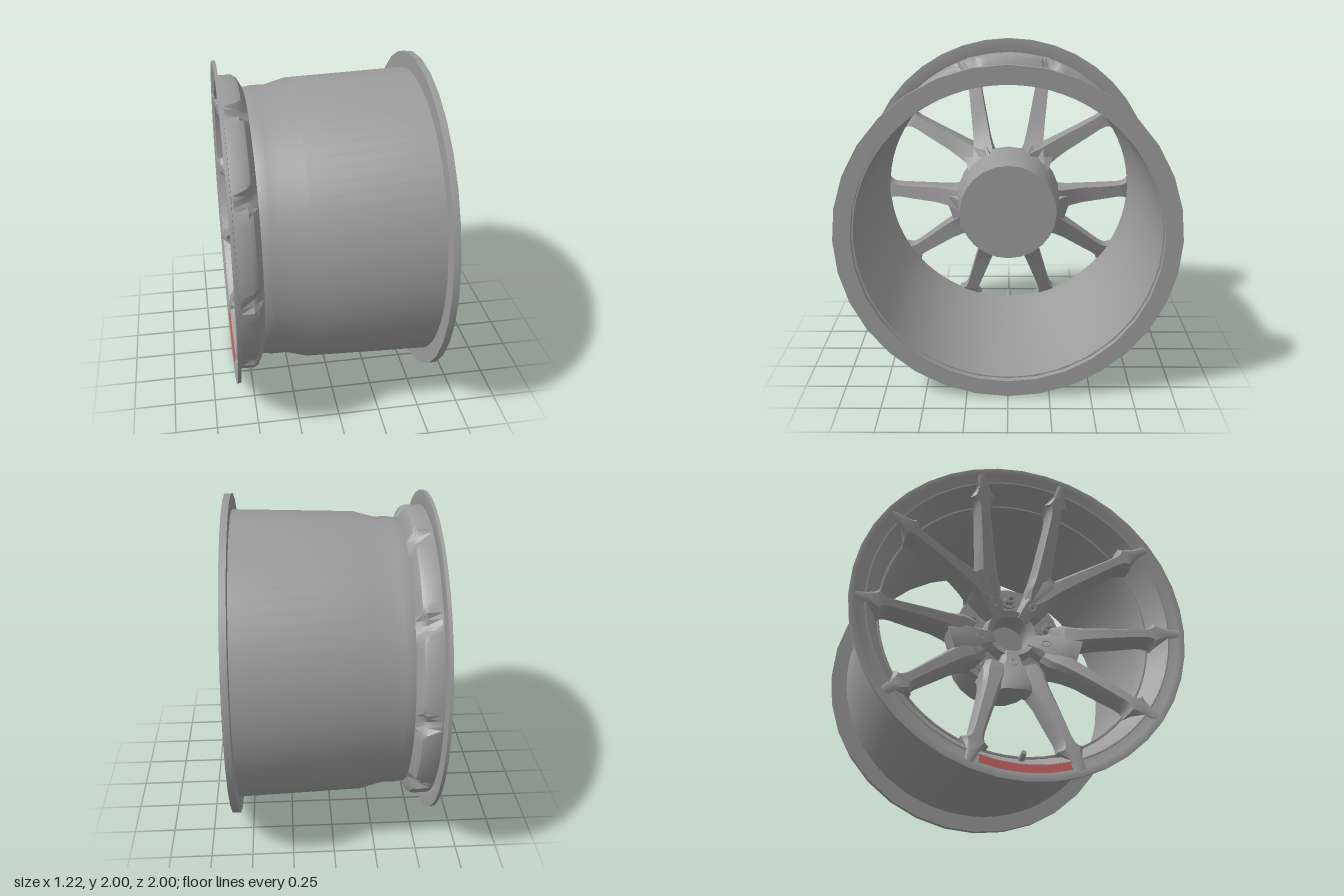
import * as THREE from 'three';
import { toCreasedNormals } from 'three/addons/utils/BufferGeometryUtils.js';

const metal = new THREE.MeshStandardMaterial({ color: 0x9b9b9b, side: THREE.DoubleSide });
const red = new THREE.MeshStandardMaterial({ color: 0xc05c58, side: THREE.DoubleSide });
const rad = THREE.MathUtils.degToRad;

function addMesh(parent, name, geometry, material = metal) {
  const mesh = new THREE.Mesh(geometry, material);
  mesh.name = name;
  parent.add(mesh);
  return mesh;
}

// Turns a profile of [x, radius] points around the wheel axis (x)
function turned(profile, segments, start = 0, length = Math.PI * 2) {
  const points = profile.map(([x, r]) => new THREE.Vector2(r, x));
  return new THREE.LatheGeometry(points, segments, start, length).rotateZ(-Math.PI / 2);
}

function ring(profile, segments) {
  return toCreasedNormals(turned([...profile, profile[0]], segments), 0.5);
}

// Lofts sections with a chamfered front along a line in the z-y plane.
// Each section is [distance, width, frontX, backX].
function loft(origin, direction, sections) {
  const side = new THREE.Vector3(1, 0, 0).cross(direction);
  const position = [], index = [], n = 6;
  for (const [d, w, f, b] of sections) {
    const c = Math.min(0.03, (b - f) * 0.4);
    const loop = [[-0.3, f], [0.3, f], [0.5, f + c], [0.5, b], [-0.5, b], [-0.5, f + c]];
    for (const [s, x] of loop) {
      const p = origin.clone().addScaledVector(direction, d).addScaledVector(side, s * w);
      position.push(x, p.y, p.z);
    }
  }
  const last = (sections.length - 1) * n;
  for (let k = 0; k < last; k += n) {
    for (let i = 0; i < n; i++) {
      const j = (i + 1) % n;
      index.push(k + i, k + j, k + n + j, k + i, k + n + j, k + n + i);
    }
  }
  for (let i = 1; i < n - 1; i++) {
    index.push(0, i + 1, i, last, last + i, last + i + 1);
  }
  const geometry = new THREE.BufferGeometry();
  geometry.setAttribute('position', new THREE.Float32BufferAttribute(position, 3));
  geometry.setIndex(index);
  return toCreasedNormals(geometry, 0.7);
}

// Front ring with ten raised pockets, notched behind every spoke arm
function pocketRing() {
  const geometry = turned([[-0.595, 0.908], [-0.575, 0.91], [-0.5, 0.912], [-0.475, 0.9], [-0.44, 0.832],
    [-0.44, 0.82], [-0.5, 0.852], [-0.595, 0.9], [-0.595, 0.908]], 180);
  const p = geometry.attributes.position;
  for (let i = 0; i < p.count; i++) {
    const x = p.getX(i), y = p.getY(i), z = p.getZ(i), r = Math.hypot(y, z);
    const angle = Math.atan2(z, y) + Math.PI * 2;
    const offset = Math.abs((angle % rad(36)) - rad(18));
    const halfNotch = rad(x > -0.49 ? 5 : 3.5);
    if (x > -0.55 && r > 0.87 && offset < halfNotch) {
      const k = (r - 0.05 * Math.min(1, 1.5 * (1 - offset / halfNotch))) / r;
      p.setXYZ(i, x, y * k, z * k);
    }
  }
  return toCreasedNormals(geometry, 0.5);
}

export function createModel() {
  const model = new THREE.Group();
  model.name = 'wheel';
  const wheel = new THREE.Group();
  wheel.name = 'wheelBody';
  wheel.position.y = 1;
  model.add(wheel);

  // Barrel and its two flanges
  addMesh(wheel, 'barrel', ring([[-0.46, 0.825], [-0.44, 0.832], [-0.38, 0.84], [-0.3, 0.84],
    [-0.17, 0.875], [0.575, 0.9], [0.575, 0.887], [-0.17, 0.862], [-0.3, 0.826], [-0.46, 0.815]], 72));
  addMesh(wheel, 'backFlange', ring([[0.57, 0.899], [0.57, 1], [0.61, 1], [0.61, 0.899]], 32));
  addMesh(wheel, 'frontFlange',
    ring([[-0.588, 0.898], [-0.603, 0.957], [-0.61, 0.97], [-0.61, 1], [-0.59, 1], [-0.585, 0.905]], 40));
  addMesh(wheel, 'pocketRing', pocketRing());

  // Coloured strip on the lower front lip
  addMesh(wheel, 'accentStrip',
    turned([[-0.596, 0.905], [-0.607, 0.95]], 16, rad(74), rad(32)), red);

  // Hub with centre bore in front and flat mounting face behind
  addMesh(wheel, 'hub', toCreasedNormals(turned([[-0.2, 0], [-0.2, 0.105], [-0.33, 0.115],
    [-0.345, 0.15], [-0.27, 0.17], [-0.26, 0.338], [-0.16, 0.335], [0.1, 0.305], [0.1, 0]], 24), 0.5));

  // Ten arms: inner and outer centre points as [z, y], mirrored across z
  const arms = [
    [[0.175, 0.38], [0.228, 0.74]],
    [[0.267, 0.29], [0.64, 0.475]],
    [[0.395, -0.015], [0.79, -0.015]],
    [[0.32, -0.21], [0.65, -0.465]],
    [[0.135, -0.355], [0.262, -0.755]],
  ];
  // Each row: radius, width, front x, back x
  const armShape = [[0.24, 0.14, -0.385, -0.12], [0.31, 0.155, -0.42, -0.17], [0.36, 0.125, -0.44, -0.23],
    [0.42, 0.11, -0.462, -0.28], [0.5, 0.101, -0.49, -0.33], [0.65, 0.087, -0.535, -0.38],
    [0.75, 0.079, -0.563, -0.42], [0.79, 0.088, -0.574, -0.435], [0.812, 0.11, -0.58, -0.445],
    [0.828, 0.16, -0.583, -0.46], [0.85, 0.12, -0.588, -0.525], [0.89, 0.07, -0.597, -0.58],
    [0.965, 0.045, -0.61, -0.598]];
  for (const m of [1, -1]) {
    for (const [a, b] of arms) {
      const inner = new THREE.Vector3(0, a[1], a[0] * m);
      const direction = new THREE.Vector3(0, b[1], b[0] * m).sub(inner).normalize();
      // Distance along the arm's line at which it reaches a given radius
      const along = inner.dot(direction);
      const miss = inner.lengthSq() - along * along;
      const sections = armShape.map(([r, ...rest]) =>
        [Math.sqrt(Math.max(0, r * r - miss)) - along, ...rest]);
      addMesh(wheel, 'spokeArm', loft(inner, direction, sections));
    }
  }

  // Five stems that join the arms in pairs, with an oval rim on each
  const stems = [[36, 0.17], [108, 0.24], [180, 0.25], [252, 0.24], [324, 0.17]];
  for (const [deg, w] of stems) {
    const direction = new THREE.Vector3(0, Math.cos(rad(deg)), Math.sin(rad(deg)));
    addMesh(wheel, 'spokeStem', loft(new THREE.Vector3(), direction, [
      [0.115, 0.1, -0.338, -0.1], [0.2, 0.15, -0.375, -0.05], [0.3, w, -0.418, -0.1],
      [0.36, w, -0.44, -0.23], [0.41, w * 0.85, -0.452, -0.3]]));
    const oval = addMesh(wheel, 'slotRim',
      new THREE.TorusGeometry(0.018, 0.004, 6, 20).scale(1, 1.5, 1).rotateY(Math.PI / 2).rotateZ(0.4));
    oval.position.copy(direction).multiplyScalar(0.21).setX(-0.379);
    oval.rotation.x = rad(deg);
  }

  // Lug nuts between the stems
  for (let i = 0; i < 5; i++) {
    const a = rad(72 * i);
    const lug = new THREE.Group();
    lug.name = 'lugNut';
    lug.position.set(-0.265, 0.25 * Math.cos(a), 0.25 * Math.sin(a));
    wheel.add(lug);
    const pieces = [['washer', 0.05, 0.02, 20], ['nut', 0.036, 0.06, 6], ['stud', 0.018, 0.095, 12]];
    for (const [name, r, h, sides] of pieces) {
      const geometry = new THREE.CylinderGeometry(r, r, h, sides).rotateZ(Math.PI / 2);
      addMesh(lug, name, geometry).position.x = -h / 2;
    }
  }

  // Air valve on the lower inside wall
  const valve = addMesh(wheel, 'airValve', new THREE.CylinderGeometry(0.014, 0.02, 0.08, 12).rotateZ(Math.PI / 2));
  valve.position.set(-0.53, -0.84, 0);
  valve.rotation.z = -0.4;

  return model;
}
